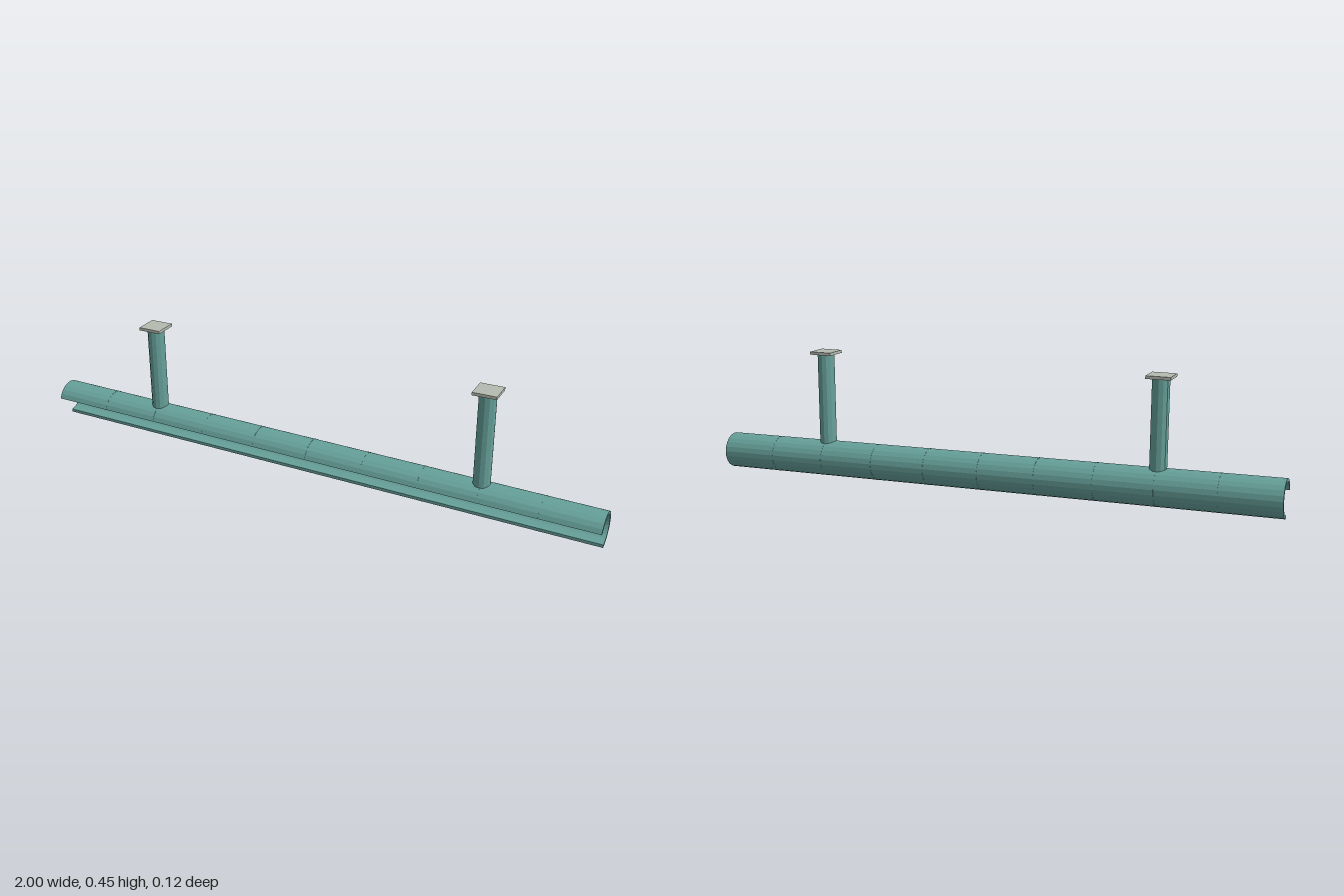
import * as THREE from 'three';

const TEAL = 0x66a09a, PLATE = 0xb4bbb0;
const OUTER = 0.0625, INNER = 0.052;
const SLOPE = -0.02;   // fall of the pipe towards +x
const MID_Y = 0.083;   // pipe axis height at x = 0

// C-shaped section (open at the lower front) extruded along x, centred on x = 0
function channel(outer, inner, length) {
  const start = THREE.MathUtils.degToRad(16), end = Math.PI * 1.5;
  const shape = new THREE.Shape();
  shape.absarc(0, 0, outer, start, end, false);
  shape.absarc(0, 0, inner, end, start, true);
  const geo = new THREE.ExtrudeGeometry(shape, { depth: length, curveSegments: 8, bevelEnabled: false });
  return geo.translate(0, 0, -length / 2).rotateY(-Math.PI / 2);
}

export function createModel() {
  const model = new THREE.Group();
  const teal = new THREE.MeshStandardMaterial({ color: TEAL, flatShading: true });
  const grey = new THREE.MeshStandardMaterial({ color: PLATE, flatShading: true });

  const add = (parent, name, geo, mat, x, y, z) => {
    const mesh = new THREE.Mesh(geo, mat);
    mesh.name = name;
    mesh.position.set(x, y, z);
    parent.add(mesh);
    return mesh;
  };

  // Sloping cut-open pipe with thin joint bands
  const pipe = new THREE.Group();
  pipe.name = 'slopingPipe';
  pipe.position.y = MID_Y;
  pipe.rotation.z = Math.atan(SLOPE);
  add(pipe, 'openPipe', channel(OUTER, INNER, 2), teal, 0, 0, 0);
  const band = channel(OUTER + 0.0007, OUTER - 0.002, 0.004);
  for (let i = -4; i <= 4; i++) add(pipe, 'jointBand', band, teal, i * 0.2, 0, 0);
  model.add(pipe);

  // Vertical hangers with square ceiling plates
  for (const x of [-0.6, 0.6]) {
    const hanger = new THREE.Group();
    hanger.name = x > 0 ? 'leftHanger' : 'rightHanger';
    const bottom = MID_Y + SLOPE * x + 0.056, top = 0.445;
    add(hanger, 'post', new THREE.CylinderGeometry(0.029, 0.029, top - bottom, 12), teal, x, (top + bottom) / 2, 0.001);
    add(hanger, 'ceilingPlate', new THREE.BoxGeometry(0.08, 0.01, 0.08), grey, x, top + 0.005, 0.001);
    model.add(hanger);
  }
  return model;
}
